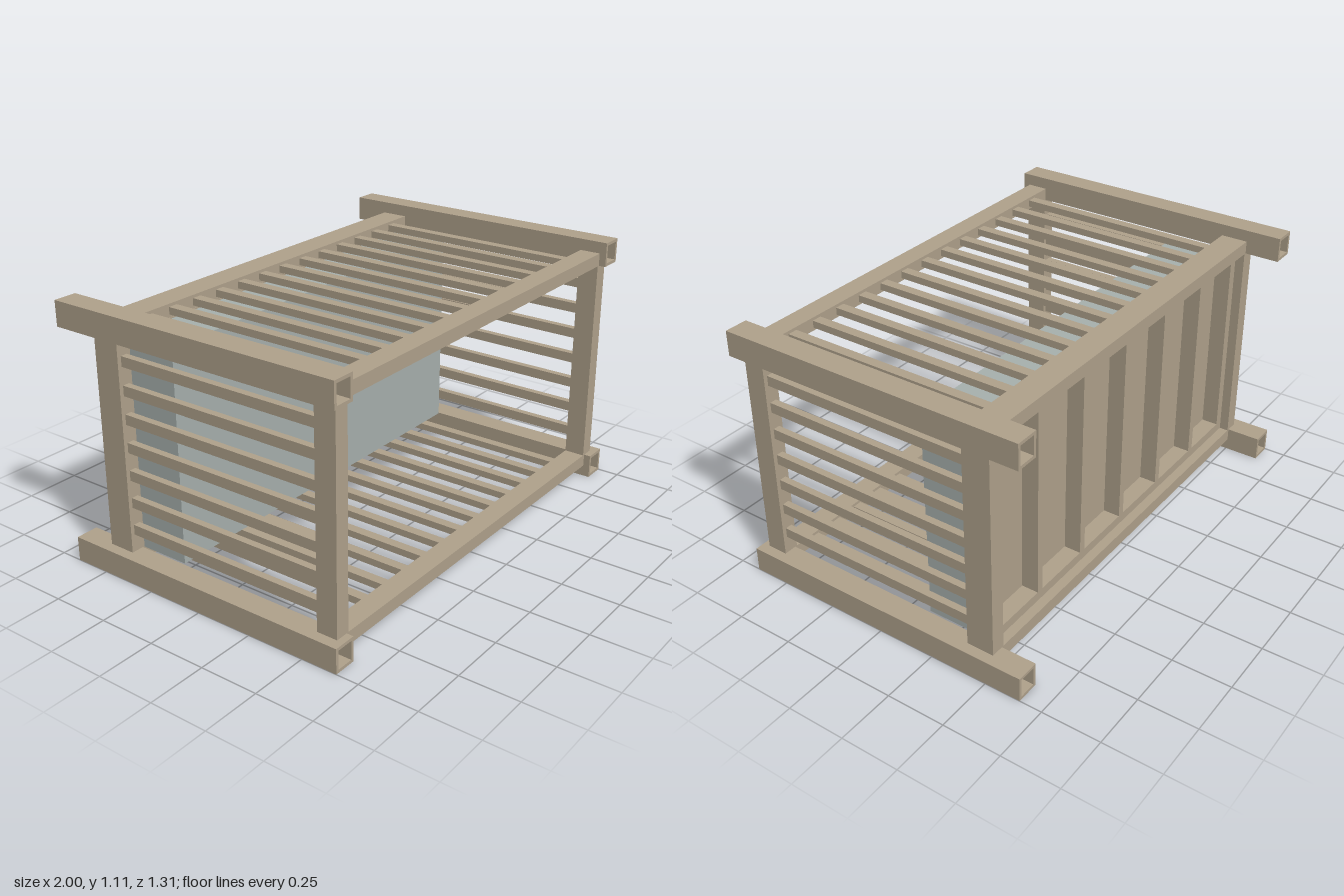
import * as THREE from 'three';

const timber = new THREE.MeshStandardMaterial({ color: 0xb0a28c });
timber.name = 'tan frame';
const grey = new THREE.MeshStandardMaterial({ color: 0xa8b1ae });
grey.name = 'blue grey core';

export function createModel() {
  const model = new THREE.Group();

  // Box given by its lower and upper limits on each axis
  const box = (name, [x0, x1], [y0, y1], [z0, z1], material = timber) => {
    const mesh = new THREE.Mesh(new THREE.BoxGeometry(x1 - x0, y1 - y0, z1 - z0), material);
    mesh.position.set((x0 + x1) / 2, (y0 + y1) / 2, (z0 + z1) / 2);
    mesh.name = name;
    model.add(mesh);
  };
  const around = (c, w) => [c - w / 2, c + w / 2];

  // Hollow square tubes running front to back at the four long corners
  const outline = (w, h) => [[-w, -h], [w, -h], [w, h], [-w, h]].map(p => new THREE.Vector2(...p));
  const section = new THREE.Shape(outline(0.05, 0.0525));
  section.holes.push(new THREE.Path(outline(0.037, 0.0395).reverse()));
  const tube = new THREE.ExtrudeGeometry(section, { depth: 1.31, bevelEnabled: false });
  tube.translate(0, 0, -0.655);

  const frontZ = [0.535, 0.625], backZ = [-0.505, -0.388], slatZ = [-0.388, 0.535];
  for (const s of [-1, 1]) {
    for (const y of [0.0525, 1.0575]) {
      const beam = new THREE.Mesh(tube, timber);
      beam.position.set(s * 0.95, y, 0);
      beam.name = 'cornerTube';
      model.add(beam);
    }
    // Upright posts and the horizontal slats between them
    box('frontPost', around(s * 0.9225, 0.065), [0.105, 1.005], frontZ);
    box('backPost', around(s * 0.9225, 0.065), [0.105, 1.005], backZ);
    for (let i = 0; i < 7; i++) {
      box('sideSlat', around(s * 0.9225, 0.03), around(0.2 + i * 0.118, 0.043), slatZ);
    }
  }

  // Top and bottom: cross rails and slats
  for (const y of [0.0775, 1.0325]) {
    box('frontRail', [-0.9, 0.9], around(y, 0.055), frontZ);
    box('backRail', [-0.9, 0.9], around(y, 0.055), backZ);
    for (let i = -6; i <= 6; i++) {
      box('crossSlat', around(i * 0.131, 0.042), around(y, 0.03), slatZ);
    }
  }

  // Thick core with its rear sheet
  box('core', [-0.893, 0.893], [0.105, 1.0], [-0.385, -0.165], grey);
  box('rearSheet', [-0.89, 0.89], [0.105, 1.005], [-0.392, -0.385]);

  // Recessed frame and studs dividing the back into six bays
  const studZ = [-0.465, -0.39];
  for (const y of [0.125, 0.985]) box('backFrameRail', [-0.89, 0.89], around(y, 0.04), studZ);
  for (const s of [-1, 1]) box('backFrameStile', around(s * 0.87, 0.04), [0.145, 0.965], studZ);
  for (let i = -2; i <= 2; i++) box('backStud', around(i * 0.297, 0.032), [0.145, 0.965], studZ);

  return model;
}
